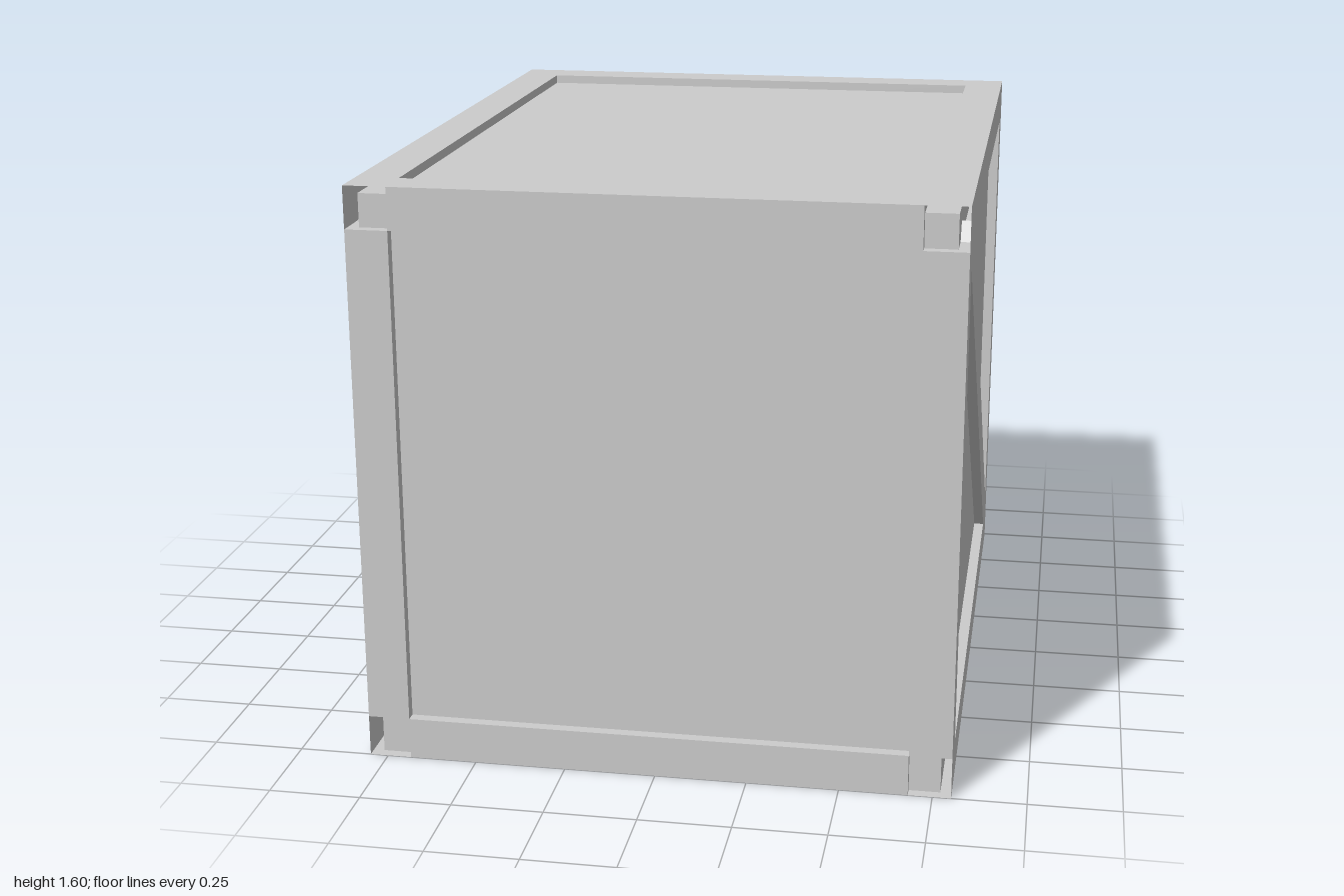
import * as THREE from 'three';

const W = 1.6, H = 1.6, D = 2, T = 0.115; // crate size and beam thickness

const material = new THREE.MeshStandardMaterial({
  color: 0xcccccc, flatShading: true, side: THREE.DoubleSide,
});

// Box without the listed faces (0..5 = +x, -x, +y, -y, +z, -z)
function openBox(w, h, d, skip = []) {
  const geometry = new THREE.BoxGeometry(w, h, d);
  const index = Array.from(geometry.index.array);
  geometry.setIndex(index.filter((_, i) => !skip.includes(Math.floor(i / 6))));
  geometry.clearGroups();
  return geometry;
}

export function createModel() {
  const group = new THREE.Group();
  const add = (name, geometry, x, y, z) => {
    const mesh = new THREE.Mesh(geometry, material);
    mesh.name = name;
    mesh.position.set(x, y, z);
    group.add(mesh);
    return mesh;
  };

  // Recessed walls and lid, open underneath
  const panelTop = 1.575;
  add('panels', openBox(1.54, panelTop, 1.94, [3]), 0, panelTop / 2, 0);

  // Hollow frame beams with open ends
  const bx = (W - T) / 2, bz = (D - T) / 2;
  const low = T / 2, high = H - T / 2;
  for (const y of [low, high]) {
    for (const s of [-1, 1]) {
      add('sideRail', openBox(T, T, D, [4, 5]), s * bx, y, 0);
      add('crossRail', openBox(W - 2 * T, T, T, [0, 1]), 0, y, s * bz);
    }
  }
  for (const sx of [-1, 1]) {
    for (const sz of [-1, 1]) {
      add('cornerPost', openBox(T, H - 2 * T, T, [2, 3]), sx * bx, H / 2, sz * bz);
    }
  }

  // Diagonal brace on each side, high at the front and low at the back
  for (const s of [-1, 1]) {
    const brace = add('diagonalBrace', openBox(0.03, T, 2.24), s * 0.785, H / 2, 0);
    brace.rotation.x = -Math.atan2(1.3, 1.675);
  }
  return group;
}
